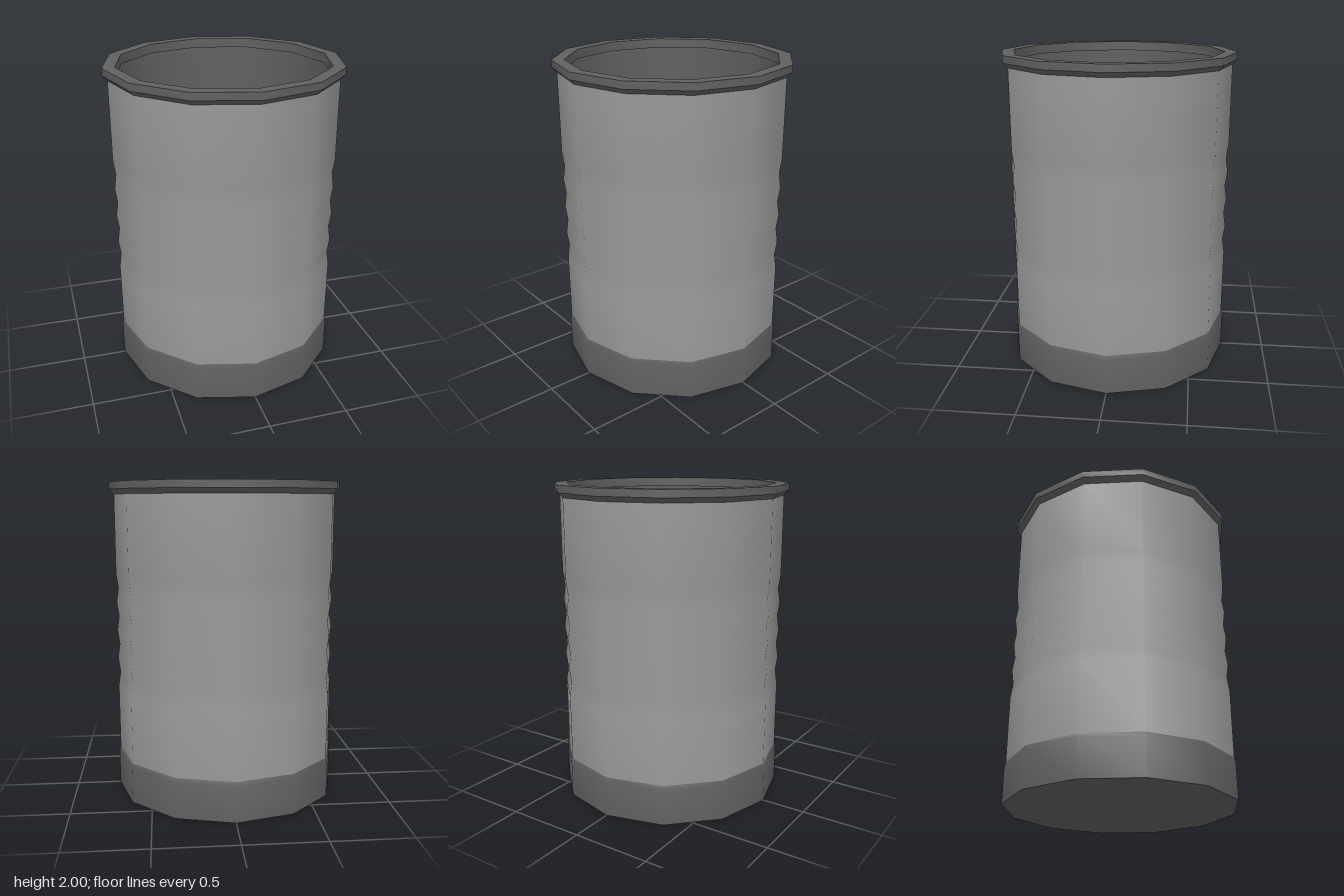
import * as THREE from 'three';
import { toCreasedNormals } from 'three/addons/utils/BufferGeometryUtils.js';

const SIDES = 12;
const light = new THREE.MeshStandardMaterial({ color: 0x999999 });
const dark = new THREE.MeshStandardMaterial({ color: 0x606060 });

// Twelve-sided ring swept from a profile of [radius, height] points
function turned(name, profile, material) {
  const points = profile.map(([r, y]) => new THREE.Vector2(r, y));
  const geometry = toCreasedNormals(new THREE.LatheGeometry(points, SIDES), 0.7);
  const mesh = new THREE.Mesh(geometry, material);
  mesh.name = name;
  return mesh;
}

export function createModel() {
  const group = new THREE.Group();
  group.name = 'can';

  // Base: underside and thicker band with a small bevel on top
  group.add(turned('baseBand', [[0, 0], [0.72, 0], [0.72, 0.23], [0.712, 0.255]], dark));

  // Outer wall with four shallow grooves across the middle
  const wall = [[0.712, 0.255]];
  for (let i = 0; i <= 8; i++) {
    wall.push([i % 2 ? 0.7 : 0.713, 0.68 + i * 0.0925]);
  }
  wall.push([0.713, 1.925]);
  group.add(turned('ribbedWall', wall, light));

  // Rim: flared underside, outer edge, flat top and inner lip
  group.add(turned('rim', [
    [0.713, 1.925], [0.743, 1.955], [0.743, 2], [0.665, 2], [0.665, 1.94], [0.69, 1.94],
  ], dark));

  // Inside wall and floor
  group.add(turned('interior', [[0.69, 1.94], [0.69, 0.03], [0, 0.03]], dark));

  return group;
}
